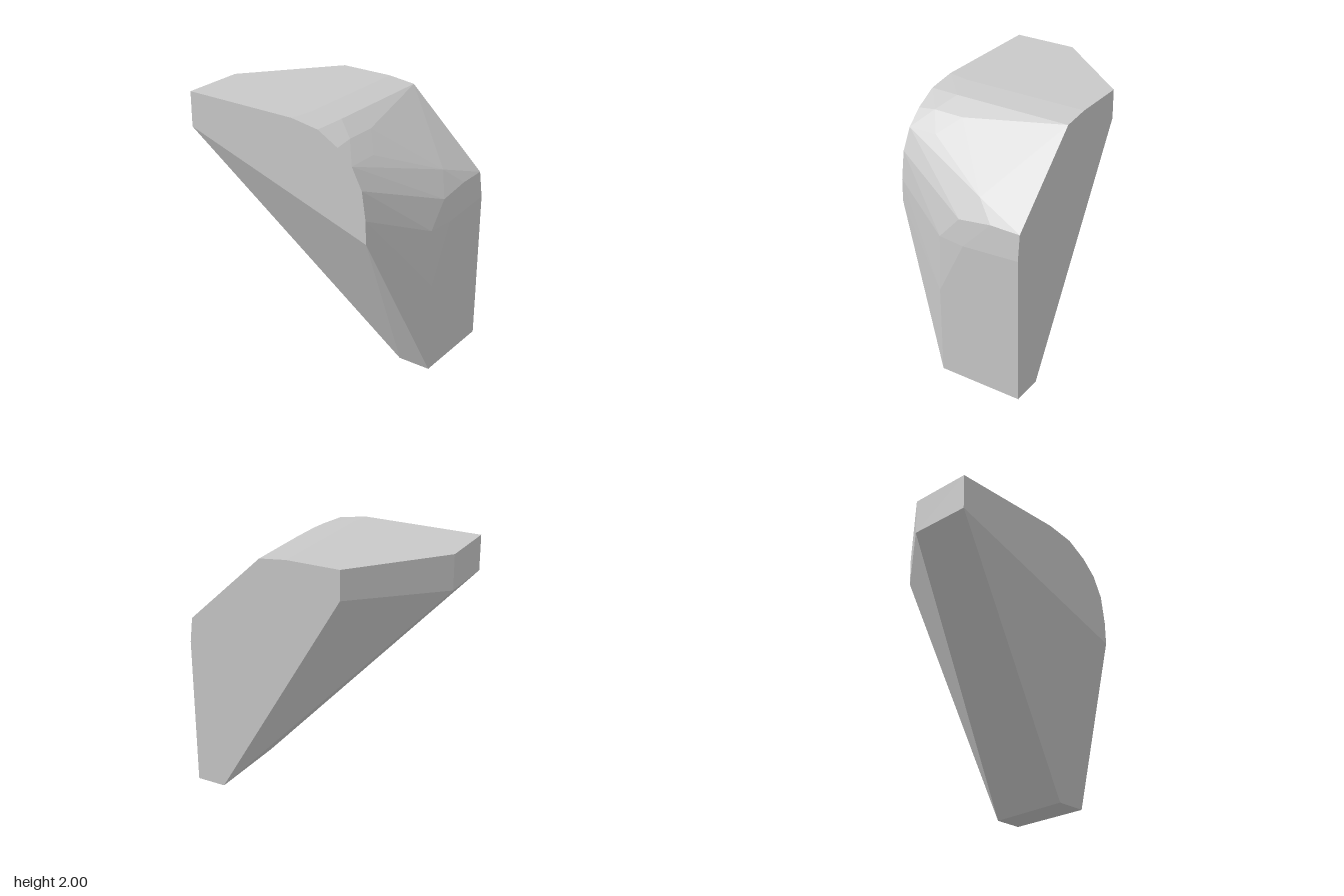
import * as THREE from 'three';
import { ConvexGeometry } from 'three/addons/geometries/ConvexGeometry.js';

export function createModel() {
  const group = new THREE.Group();
  group.name = 'taperedBlock';
  const grey = new THREE.MeshStandardMaterial({ color: 0xc8c8c8 });
  grey.name = 'stone grey';

  // Corners of the faceted solid, grouped by region as [x, y, z]
  const foot = [
    [0.59, 0, 0.92], [-0.09, 0, 0.92], [0.59, 0, 0.68], [-0.09, 0, 0.66],
  ];
  const back = [
    [-0.595, 2, -0.925], [-0.09, 2, -0.925], [0.59, 2, -0.365],
    [-0.595, 1.72, -0.925], [-0.09, 1.725, -0.925], [0.59, 1.77, -0.365],
  ];
  // Rounded shoulder along the straight side
  const straightEdge = [
    [0.59, 2, 0.065], [0.59, 1.975, 0.285], [0.59, 1.4, 0.9], [0.59, 1.2, 0.925],
  ];
  // Rounded shoulder along the tapering side
  const taperEdge = [
    [-0.595, 2, 0.03], [-0.595, 1.965, 0.26], [-0.595, 1.87, 0.43],
    [-0.595, 1.76, 0.55], [-0.595, 1.6, 0.635], [-0.595, 1.38, 0.67],
    [-0.595, 1.2, 0.675],
  ];
  // Bevel corners across the front and top
  const bevel = [
    [-0.42, 2, 0.065], [-0.35, 1.975, 0.285], [-0.45, 1.89, 0.43],
    [-0.2, 1.89, 0.432], [-0.35, 1.768, 0.56], [0.2, 1.53, 0.805],
    [0.35, 1.4, 0.9], [0.08, 1.36, 0.895], [-0.09, 1.17, 0.9],
    [0.13, 1.17, 0.925], [-0.09, 0.72, 0.922],
  ];

  const points = [...foot, ...back, ...straightEdge, ...taperEdge, ...bevel]
    .map((p) => new THREE.Vector3(...p));
  const body = new THREE.Mesh(new ConvexGeometry(points), grey);
  body.name = 'body';
  group.add(body);
  return group;
}
